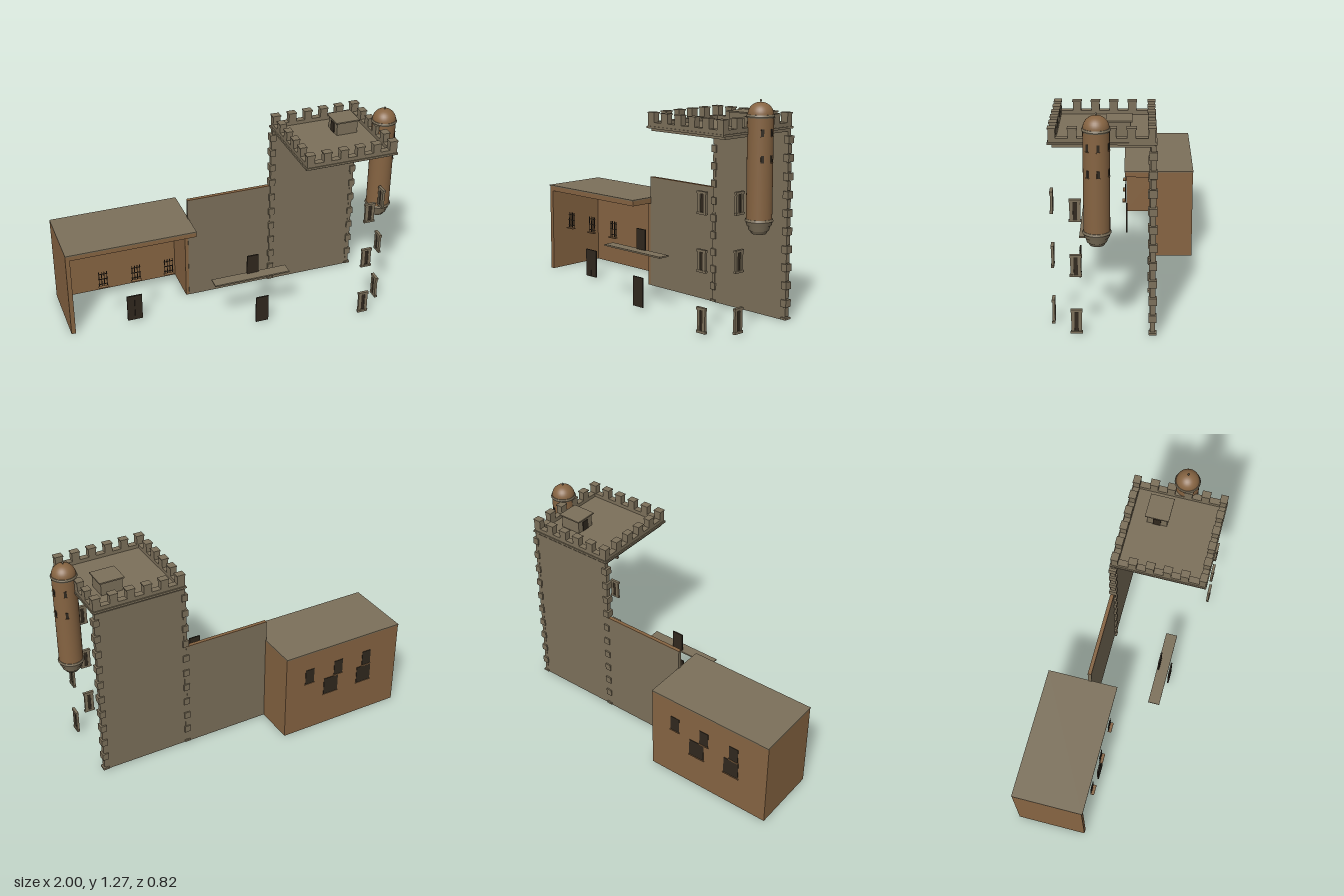
import * as THREE from 'three';

export function createModel() {
  const mat = (name, color) => {
    const m = new THREE.MeshStandardMaterial({ color });
    m.name = name;
    return m;
  };
  const stone = mat('stone', 0x7c705a);
  const plaster = mat('brown plaster', 0x866442);
  const dark = mat('dark openings', 0x30281e);
  const root = new THREE.Group();

  const group = (name, parent = root) => {
    const g = new THREE.Group();
    g.name = name;
    parent.add(g);
    return g;
  };
  // Box given by its limits on each axis
  const box = (parent, name, m, x0, x1, y0, y1, z0, z1) => {
    const mesh = new THREE.Mesh(new THREE.BoxGeometry(x1 - x0, y1 - y0, z1 - z0), m);
    mesh.position.set((x0 + x1) / 2, (y0 + y1) / 2, (z0 + z1) / 2);
    mesh.name = name;
    parent.add(mesh);
    return mesh;
  };

  // House: open front, partial right wall
  const house = group('house');
  box(house, 'houseBackWall', plaster, -1, -0.2, 0, 0.525, -0.405, -0.38);
  box(house, 'houseLeftWall', plaster, -1, -0.973, 0, 0.525, -0.38, 0.015);
  box(house, 'houseRightWall', plaster, -0.225, -0.2, 0, 0.525, -0.38, -0.14);
  box(house, 'houseRoofSlab', plaster, -1, -0.2, 0.525, 0.556, -0.405, 0.015);
  box(house, 'houseRoofTop', stone, -1, -0.2, 0.556, 0.563, -0.408, 0.02);

  // House front: barred windows and double door
  for (const x of [-0.785, -0.583, -0.38]) {
    const bars = group('barredWindow', house);
    for (let i = 0; i < 4; i++) {
      const bx = x - 0.024 + i * 0.016;
      box(bars, 'verticalBar', dark, bx - 0.002, bx + 0.002, 0.305, 0.405, 0.013, 0.017);
    }
    for (const y of [0.32, 0.355, 0.39])
      box(bars, 'crossBar', dark, x - 0.029, x + 0.029, y - 0.002, y + 0.002, 0.013, 0.017);
    box(bars, 'windowSill', plaster, x - 0.031, x + 0.031, 0.3, 0.306, 0.012, 0.034);
  }
  for (const x of [-0.647, -0.599])
    box(house, 'frontDoorLeaf', dark, x, x + 0.046, 0.01, 0.185, 0.004, 0.013);

  // House back: three small windows and two wide ones
  const backWindow = (x, w, y0, y1) => {
    box(house, 'backWindow', dark, x - w / 2, x + w / 2, y0, y1, -0.408, -0.404);
    box(house, 'backSill', plaster, x - w / 2 - 0.004, x + w / 2 + 0.004, y0 - 0.006, y0, -0.411, -0.404);
  };
  for (const x of [-0.365, -0.57, -0.775]) backWindow(x, 0.06, 0.342, 0.44);
  for (const x of [-0.52, -0.76]) backWindow(x, 0.1, 0.222, 0.335);

  // Middle wall with the balcony and doors ahead of it
  const middle = group('middleBuilding');
  box(middle, 'middleWall', stone, -0.205, 0.335, 0, 0.688, -0.16, -0.138);
  box(middle, 'middleWallCap', plaster, -0.205, 0.335, 0.688, 0.692, -0.16, -0.138);
  box(middle, 'balconySlab', stone, -0.172, 0.298, 0.325, 0.334, 0.208, 0.278);
  box(middle, 'balconyDoor', dark, 0.048, 0.12, 0.334, 0.457, 0.213, 0.222);
  box(middle, 'lowerDoor', dark, 0.085, 0.165, 0.01, 0.188, 0.277, 0.286);

  // Tower back wall with alternating corner stones
  const tower = group('tower');
  box(tower, 'towerBackWall', stone, 0.335, 0.882, 0, 1.08, -0.158, -0.132);
  for (const [edge, out] of [[0.335, -1], [0.882, 1]]) {
    for (let i = 0; i < 21; i++) {
      const big = i % 2 === 0;
      const y = 1.025 - i * 0.0515 + 0.01;
      const h = big ? 0.021 : 0.026, d = big ? 0.022 : 0.0145;
      const xa = edge + out * (big ? 0.015 : 0.006), xb = edge - out * (big ? 0.022 : 0.014);
      const y0 = Math.max(0.004, y - 0.01 - h);
      box(tower, 'cornerStone', stone, Math.min(xa, xb), Math.max(xa, xb),
        y0, y - 0.01 + h, -0.145 - d, -0.145 + d);
    }
  }

  // Tower top: slab, cornice, parapet and merlons
  const top = group('towerTop', tower);
  box(top, 'towerRoofSlab', stone, 0.337, 0.882, 1.07, 1.086, -0.15, 0.38);
  box(top, 'cornice', stone, 0.325, 0.893, 1.086, 1.098, -0.163, 0.405);
  const X0 = 0.332, X1 = 0.888, Z0 = -0.156, Z1 = 0.4, T = 0.038;
  box(top, 'parapetBack', stone, X0, X1, 1.098, 1.12, Z0, Z0 + T);
  box(top, 'parapetFront', stone, X0, X1, 1.098, 1.12, Z1 - T, Z1);
  box(top, 'parapetLeft', stone, X1 - T, X1, 1.098, 1.12, Z0 + T, Z1 - T);
  box(top, 'parapetRight', stone, X0, X0 + T, 1.098, 1.12, Z0 + T, Z1 - T);
  const merlon = (x, z, w, d) => {
    box(top, 'merlon', stone, x - w / 2, x + w / 2, 1.12, 1.168, z - d / 2, z + d / 2);
    box(top, 'merlonCap', stone, x - w / 2 - 0.003, x + w / 2 + 0.003, 1.168, 1.175,
      z - d / 2 - 0.003, z + d / 2 + 0.003);
  };
  for (let i = 0; i < 6; i++) {
    const x = X0 + 0.023 + i * 0.102, z = Z0 + 0.023 + i * 0.102;
    merlon(x, Z0 + T / 2, 0.046, T);
    merlon(x, Z1 - T / 2, 0.046, T);
    if (i > 0 && i < 5) {
      merlon(X0 + T / 2, z, T, 0.046);
      merlon(X1 - T / 2, z, T, 0.046);
    }
  }

  // Stair hut on the roof
  box(top, 'roofHut', stone, 0.65, 0.78, 1.098, 1.176, -0.025, 0.095);
  box(top, 'roofHutCap', stone, 0.64, 0.79, 1.176, 1.184, -0.035, 0.105);
  box(top, 'roofHutDoor', dark, 0.646, 0.65, 1.098, 1.16, 0.012, 0.058);

  // Framed tower windows: front column and left-side column
  const framedWindow = (x, y0, z, turn) => {
    const g = group('framedWindow', tower);
    const h = 0.125;
    box(g, 'windowSill', stone, -0.033, 0.033, 0, 0.012, -0.007, 0.01);
    box(g, 'windowLintel', stone, -0.033, 0.033, h - 0.014, h, -0.007, 0.01);
    for (const s of [-1, 1])
      box(g, 'windowJamb', stone, s * 0.02 - 0.009, s * 0.02 + 0.009, 0.012, h - 0.014, -0.007, 0.007);
    box(g, 'windowPane', dark, -0.011, 0.011, 0.012, h - 0.014, -0.004, 0.002);
    g.position.set(x, y0, z);
    g.rotation.y = turn;
    g.scale.y = y0 < 0.1 ? 1.15 : 1;
  };
  for (const y of [0.01, 0.347, 0.662]) {
    framedWindow(0.742, y, 0.398, 0);
    framedWindow(0.884, y, 0.266, Math.PI / 2);
  }

  // Round corner turret
  const turret = group('turret');
  turret.position.set(0.923, 0, 0.15);
  const lathe = (name, m, pts) => {
    const mesh = new THREE.Mesh(
      new THREE.LatheGeometry(pts.map(([r, y]) => new THREE.Vector2(r, y)), 32), m);
    mesh.name = name;
    turret.add(mesh);
  };
  lathe('turretShaft', plaster, [[0.07, 0.625], [0.07, 1.175]]);
  const bands = [[0.04, 0.05, 0.55, 0.568], [0.054, 0.062, 0.568, 0.595],
    [0.066, 0.074, 0.595, 0.62], [0.077, 0.073, 0.62, 0.632], [0.073, 0.076, 1.172, 1.18],
    [0.076, 0.072, 1.18, 1.19]];
  for (const [r0, r1, y0, y1] of bands) {
    const mesh = new THREE.Mesh(new THREE.CylinderGeometry(r1, r0, y1 - y0, 32), stone);
    mesh.position.y = (y0 + y1) / 2;
    mesh.name = 'turretMoulding';
    turret.add(mesh);
  }
  const dome = [];
  for (let i = 0; i <= 10; i++) {
    const a = (i / 10) * Math.PI / 2;
    dome.push([0.069 * Math.cos(a), 1.188 + 0.066 * Math.sin(a)]);
  }
  lathe('turretDome', plaster, dome);
  lathe('finial', stone, [[0.006, 1.25], [0.003, 1.256], [0.006, 1.262], [0.004, 1.267], [0, 1.27]]);

  // Narrow turret windows in two rows
  for (const y of [0.958, 1.097]) {
    for (const deg of [-40, 10, 70]) {
      const g = group('turretWindow', turret);
      box(g, 'turretSlit', dark, 0.066, 0.0715, -0.019, 0.019, -0.008, 0.008);
      box(g, 'turretSill', plaster, 0.066, 0.075, -0.023, -0.019, -0.01, 0.01);
      g.position.y = y;
      g.rotation.y = THREE.MathUtils.degToRad(deg);
    }
  }
  return root;
}
